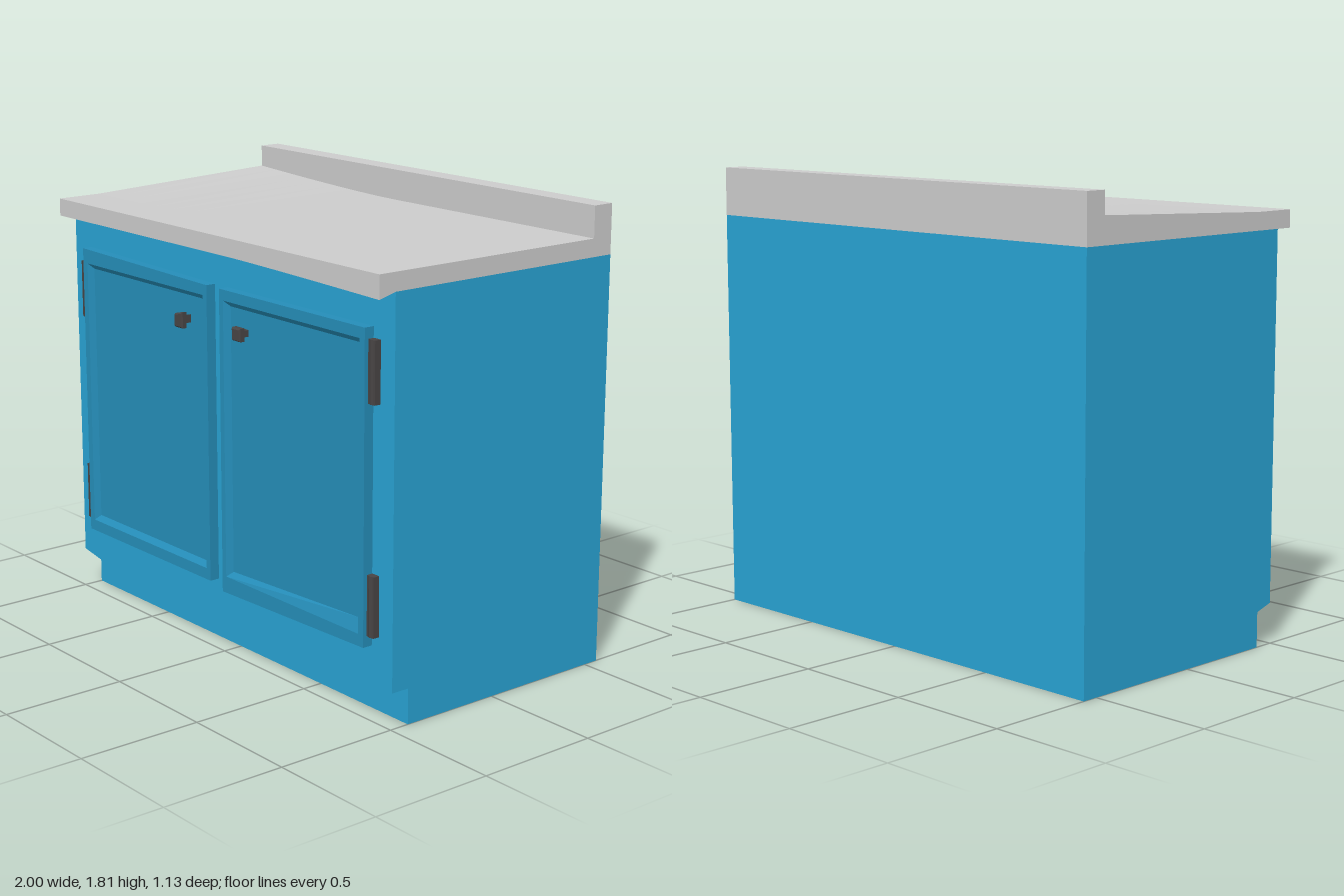
import * as THREE from 'three';

const mat = (color) => new THREE.MeshStandardMaterial({ color, flatShading: true });
const clamp01 = (t) => Math.min(1, Math.max(0, t));

// Joins rings of 3D points (counter-clockwise seen from the end) and caps both ends.
function loft(rings, flatten) {
  const n = rings[0].length, index = [];
  rings.slice(1).forEach((_, i) => {
    for (let j = 0; j < n; j++) {
      const a = i * n + j, b = i * n + (j + 1) % n;
      index.push(a, b, b + n, a, b + n, a + n);
    }
  });
  const cap = (ring) => THREE.ShapeUtils.triangulateShape(ring.map(flatten), []);
  const last = (rings.length - 1) * n;
  cap(rings[0]).forEach(([a, b, c]) => index.push(a, c, b));
  cap(rings[rings.length - 1]).forEach(([a, b, c]) => index.push(a + last, b + last, c + last));
  const g = new THREE.BufferGeometry();
  g.setAttribute('position', new THREE.Float32BufferAttribute(rings.flat(2), 3));
  g.setIndex(index);
  const flat = g.toNonIndexed();
  flat.computeVertexNormals();
  return flat;
}
const sideOn = (p) => new THREE.Vector2(-p[2], p[1]);
const frontOn = (p) => new THREE.Vector2(p[0], p[1]);

// Sweeps a [z, y] profile, which may change with x, along the width.
const sweepX = (xs, profile) =>
  loft(xs.map((x) => profile(x).map(([z, y]) => [x, y, z])), sideOn);

// Four corners at depth z; each corner height is separate so edges may slant.
const quad = (x0, x1, z, bottomL, bottomR, topL, topR) =>
  [[x0, bottomL, z], [x1, bottomR, z], [x1, topR, z], [x0, topL, z]];

export function createModel() {
  const model = new THREE.Group();
  const blue = mat(0x28a2d2), doorBlue = mat(0x258db8);
  const grey = mat(0xcccccc), dark = mat(0x484444);
  const add = (name, geometry, material, parent = model) => {
    const m = new THREE.Mesh(geometry, material);
    m.name = name;
    parent.add(m);
    return m;
  };

  // Cabinet with a toe kick; the front's lower edge is chipped at one corner
  add('cabinetBody', sweepX([-1, -0.86, 1], (x) => [
    [0.417, 0.14], [0.417, 0], [-0.565, 0], [-0.565, 1.615],
    [0.494, 1.615], [0.494, x === -1 ? 0.163 : 0.14],
  ]), blue);

  // Worktop and splashback: warped up at one back corner, lip sagging at one front corner
  const stations = Array.from({ length: 21 }, (_, i) => -1 + i * 0.1);
  add('worktop', sweepX(stations, (x) => {
    const rise = 0.035 * clamp01((-0.15 - x) / 0.85) ** 1.4;
    const sag = 0.019 * clamp01((x - 0.15) / 0.85) ** 1.3;
    return [
      [0.494, 1.615], [-0.565, 1.615], [-0.565, 1.808], [-0.475, 1.808],
      [-0.475, 1.685 + rise], [0.38, 1.685], [0.568, 1.685], [0.568, 1.615 - sag],
    ];
  }), grey);

  // Doors with a bevelled recessed panel, each a little out of square
  const back = 0.49, face = 0.535, panel = 0.515;
  add('rightDoor', loft([
    quad(-0.888, -0.04, back, 0.291, 0.291, 1.492, 1.475),
    quad(-0.888, -0.04, face, 0.291, 0.291, 1.492, 1.475),
    quad(-0.858, -0.064, face, 0.337, 0.337, 1.433, 1.433),
    quad(-0.838, -0.086, panel, 0.358, 0.358, 1.412, 1.412),
  ], frontOn), doorBlue);
  add('leftDoor', loft([
    quad(0.04, 0.886, back, 0.27, 0.291, 1.475, 1.475),
    quad(0.04, 0.886, face, 0.27, 0.291, 1.475, 1.475),
    quad(0.064, 0.858, face, 0.337, 0.337, 1.433, 1.433),
    quad(0.086, 0.836, panel, 0.358, 0.39, 1.412, 1.412),
  ], frontOn), doorBlue);

  // Square knobs: thin stem flaring into a chamfered head
  const knob = (name, cx, bottom, topL, topR) => {
    const cy = (bottom + topR) / 2;
    const ring = (s, z) => quad(cx - 0.025, cx + 0.025, z, bottom, bottom, topL, topR)
      .map(([x, y]) => [cx + (x - cx) * s, cy + (y - cy) * s, z]);
    add(name, loft([ring(0.5, panel - 0.005), ring(0.5, 0.538), ring(1, 0.544),
      ring(1, 0.562), ring(0.8, 0.569)], frontOn), dark);
  };
  knob('rightKnob', -0.184, 1.289, 1.342, 1.353);
  knob('leftKnob', 0.183, 1.302, 1.353, 1.353);

  // Hinges: a flat leaf with a barrel down the middle
  for (const side of [-1, 1]) {
    for (const y of [0.45, 1.317]) {
      const hinge = new THREE.Group();
      hinge.name = (side < 0 ? 'right' : 'left') + (y > 1 ? 'Upper' : 'Lower') + 'Hinge';
      hinge.position.set(side * 0.906, y, 0.507);
      add('hingeLeaf', new THREE.BoxGeometry(0.037, 0.233, 0.026), dark, hinge);
      add('hingeBarrel', new THREE.CylinderGeometry(0.014, 0.014, 0.233, 8), dark, hinge)
        .position.z = 0.004;
      model.add(hinge);
    }
  }
  return model;
}
